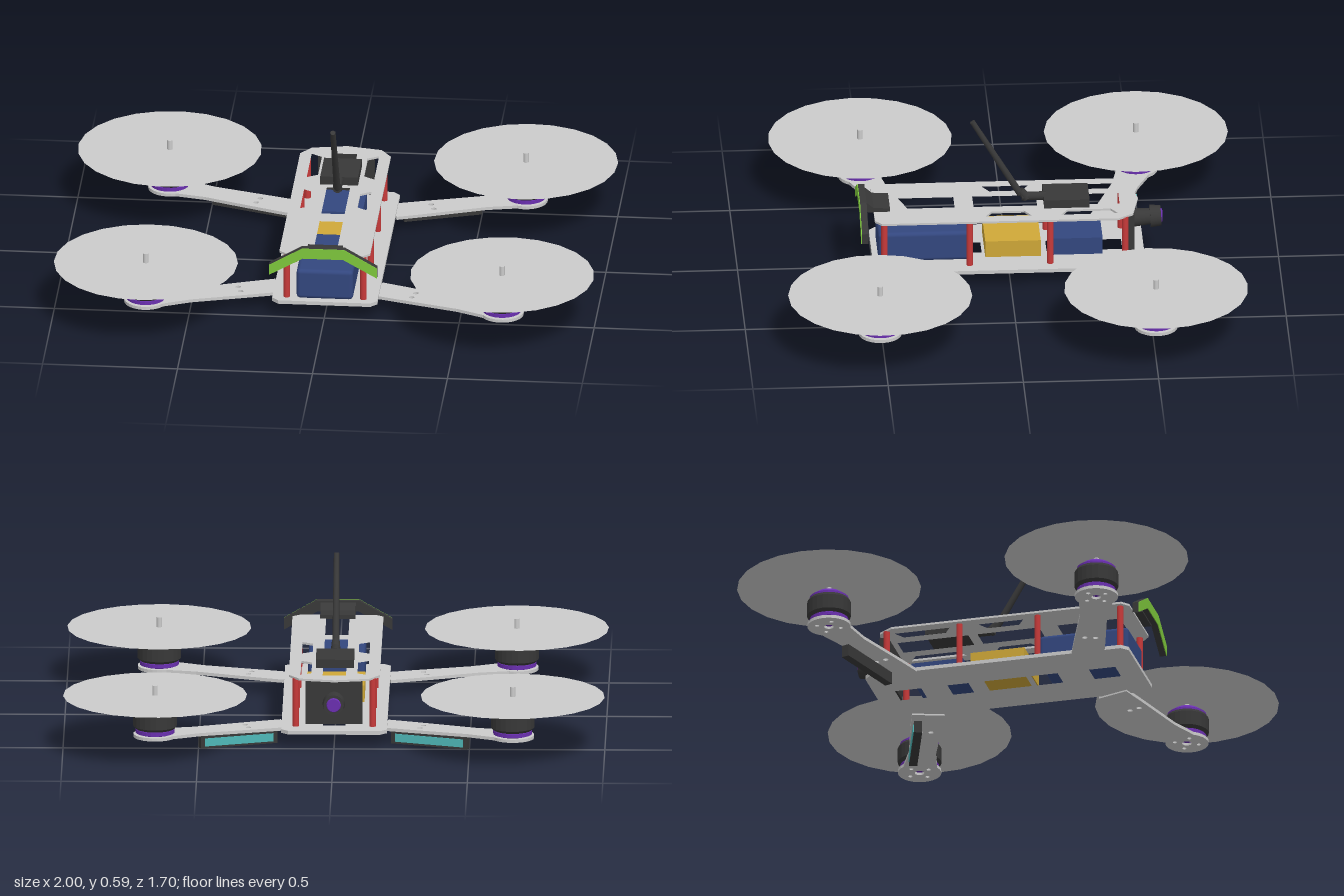
import * as THREE from 'three';
import { RoundedBoxGeometry } from 'three/addons/geometries/RoundedBoxGeometry.js';

const mat = (color, extra = {}) => new THREE.MeshStandardMaterial({ color, ...extra });
const grey = mat(0xcccccc);
const disc = mat(0xcccccc, { side: THREE.DoubleSide });
const dark = mat(0x383838);
const blue = mat(0x33477f);
const gold = mat(0xcfa838);
const red = mat(0xc83a3a);
const green = mat(0x7ec83c);
const purple = mat(0x6a2fb0);
const teal = mat(0x4fb8b8);

function add(parent, name, geometry, material, x = 0, y = 0, z = 0) {
  const mesh = new THREE.Mesh(geometry, material);
  mesh.name = name;
  mesh.position.set(x, y, z);
  parent.add(mesh);
  return mesh;
}

// box given by its extents
function box(parent, name, material, [x0, x1], [y0, y1], [z0, z1]) {
  return add(parent, name, new THREE.BoxGeometry(x1 - x0, y1 - y0, z1 - z0), material,
    (x0 + x1) / 2, (y0 + y1) / 2, (z0 + z1) / 2);
}

// outline points are [x, z]
const path = (pts) => pts.map(([x, z]) => new THREE.Vector2(x, -z));
const rect = (x, z0, z1) => [[-x, z0], [x, z0], [x, z1], [-x, z1]];

// flat sheet lying in the xz plane
function sheet(shape, thickness) {
  const g = new THREE.ExtrudeGeometry(shape, { depth: thickness, bevelEnabled: false, curveSegments: 10 });
  return g.rotateX(-Math.PI / 2);
}

function plate(outline, holes, thickness) {
  const shape = new THREE.Shape(path(outline));
  holes.forEach((h) => shape.holes.push(new THREE.Path(path(h))));
  return sheet(shape, thickness);
}

const lathe = (pts) =>
  new THREE.LatheGeometry(pts.map(([r, y]) => new THREE.Vector2(r, y)), 24);

// cylinder between two points
function rod(parent, name, material, a, b, r0, r1 = r0, sides = 12) {
  const p = new THREE.Vector3(...a), q = new THREE.Vector3(...b);
  const mesh = add(parent, name, new THREE.CylinderGeometry(r1, r0, p.distanceTo(q), sides), material);
  mesh.position.copy(p).add(q).multiplyScalar(0.5);
  mesh.quaternion.setFromUnitVectors(new THREE.Vector3(0, 1, 0), q.sub(p).normalize());
  return mesh;
}

// motor with bell, shaft and spinning propeller disc
function createMotor() {
  const g = new THREE.Group();
  g.name = 'motor';
  const flat = (m) => { const c = m.clone(); c.flatShading = true; return c; };
  add(g, 'motorBase', lathe([[0, 0.058], [0.055, 0.058], [0.072, 0.064], [0.072, 0.078], [0.06, 0.086], [0, 0.086]]), flat(purple));
  add(g, 'motorBell', lathe([[0, 0.08], [0.072, 0.08], [0.081, 0.09], [0.081, 0.145], [0.074, 0.156], [0, 0.156]]), flat(dark));
  add(g, 'motorCap', lathe([[0.072, 0.154], [0.072, 0.165], [0.048, 0.182], [0.032, 0.19], [0, 0.19]]), flat(purple));
  add(g, 'motorShaft', new THREE.CylinderGeometry(0.01, 0.01, 0.06, 12), grey, 0, 0.212, 0);
  add(g, 'propellerDisc', new THREE.CircleGeometry(0.34, 24).rotateX(-Math.PI / 2), disc, 0, 0.205, 0);
  return g;
}

// arm outline along local +x, ending in a round motor mount
function armGeometry(length) {
  const s = new THREE.Shape();
  s.moveTo(-0.01, -0.06);
  s.lineTo(0.1, -0.058);
  s.lineTo(length - 0.16, -0.05);
  s.lineTo(length - 0.05, -0.062);
  s.absarc(length, 0, 0.08, -2.25, 2.25, false);
  s.lineTo(length - 0.16, 0.05);
  s.lineTo(0.1, 0.058);
  s.lineTo(-0.01, 0.06);
  s.closePath();
  const hole = (x, y, r) => s.holes.push(new THREE.Path().absarc(x, y, r, 0, Math.PI * 2, true));
  hole(0.14, 0.02, 0.01);
  hole(0.14, -0.02, 0.01);
  hole(length, 0, 0.018);
  for (let i = 0; i < 4; i++) {
    const a = Math.PI / 4 + i * Math.PI / 2;
    hole(length + 0.045 * Math.cos(a), 0.045 * Math.sin(a), 0.008);
  }
  return sheet(s, 0.012);
}

function createArm(sx, sz) {
  const g = new THREE.Group();
  g.name = 'arm';
  const dx = 0.47, dz = 0.155, length = Math.hypot(dx, dz);
  g.position.set(sx * 0.19, 0, sz * 0.355);
  g.rotation.y = Math.atan2(-sz * dz, sx * dx);
  add(g, 'armPlate', armGeometry(length), grey, 0, 0.048, 0);
  const motor = createMotor();
  motor.position.x = length;
  g.add(motor);
  // light bar below each rear arm
  if (sz < 0) {
    const side = -sx;
    add(g, 'lightBar', new THREE.BoxGeometry(0.295, 0.046, 0.03), dark, 0.185, 0.023, side * 0.034);
    add(g, 'lightStrip', new THREE.BoxGeometry(0.265, 0.03, 0.004), teal, 0.185, 0.023, side * 0.05);
  }
  return g;
}

export function createModel() {
  const model = new THREE.Group();
  model.name = 'quadcopter';

  // arms with motors
  for (const sx of [-1, 1]) for (const sz of [-1, 1]) model.add(createArm(sx, sz));

  // lower deck
  const c = 0.025;
  const lower = [[-0.195, -0.5 + c], [-0.195 + c, -0.5], [0.195 - c, -0.5], [0.195, -0.5 + c],
    [0.195, 0.505 - c], [0.195 - c, 0.505], [-0.195 + c, 0.505], [-0.195, 0.505 - c]];
  const lowerSlots = [[0.32, 0.42], [0.1, 0.2], [-0.08, 0.08], [-0.22, -0.14], [-0.42, -0.32]];
  add(model, 'lowerDeck', plate(lower, lowerSlots.map(([a, b]) => rect(0.042, a, b)), 0.014), grey, 0, 0.054, 0);

  // upper deck with centre slots and side windows
  const upper = [[-0.168, -0.4], [-0.13, -0.455], [0, -0.48], [0.13, -0.455], [0.168, -0.4],
    [0.168, 0.475], [0.14, 0.5], [-0.14, 0.5], [-0.168, 0.475]];
  const holes = [[-0.41, -0.14], [-0.105, 0.13], [0.2, 0.44]].map(([a, b]) => rect(0.043, a, b));
  for (const s of [-1, 1]) for (const [a, b] of [[-0.4, -0.19], [-0.08, 0.09]])
    holes.push([[s * 0.125, a], [s * 0.085, a + 0.025], [s * 0.085, b - 0.025], [s * 0.125, b]]);
  add(model, 'upperDeck', plate(upper, holes, 0.008), grey, 0, 0.248, 0);

  // standoffs between the decks
  for (const s of [-1, 1]) for (const z of [0.465, 0.15, -0.148, -0.425])
    rod(model, 'standoff', red, [s * 0.142, 0.066, z], [s * 0.142, 0.25, z], 0.012);

  // battery and boards
  add(model, 'battery', new RoundedBoxGeometry(0.21, 0.116, 0.34, 2, 0.015), blue, 0, 0.126, 0.315);
  box(model, 'powerBoard', gold, [-0.107, 0.107], [0.08, 0.144], [-0.115, 0.09]);
  box(model, 'receiver', blue, [-0.085, 0.085], [0.072, 0.138], [-0.345, -0.15]);

  // rear camera
  box(model, 'cameraBody', dark, [-0.105, 0.105], [0.085, 0.246], [-0.462, -0.43]);
  rod(model, 'cameraBarrel', dark, [0, 0.175, -0.46], [0, 0.18, -0.53], 0.034, 0.03, 16);
  rod(model, 'cameraRing', dark, [0, 0.18, -0.525], [0, 0.182, -0.565], 0.042, 0.038, 16);
  rod(model, 'cameraLens', purple, [0, 0.182, -0.56], [0, 0.182, -0.57], 0.03, 0.024, 16);

  // transmitter and antenna on the upper deck
  box(model, 'transmitter', dark, [-0.07, 0.07], [0.256, 0.288], [-0.298, -0.13]);
  rod(model, 'antennaConnector', dark, [0, 0.275, -0.14], [0, 0.275, -0.05], 0.016);
  rod(model, 'antennaJoint', dark, [0, 0.268, -0.07], [0, 0.3, -0.045], 0.018, 0.014);
  rod(model, 'antenna', dark, [0, 0.285, -0.045], [0, 0.585, 0.132], 0.013, 0.01);

  // front bumper: bent bar with a coloured face
  const bar = new THREE.Shape([[-0.2, 0.192], [-0.075, 0.262], [0.075, 0.262], [0.2, 0.192],
    [0.2, 0.232], [0.078, 0.302], [-0.078, 0.302], [-0.2, 0.232]].map((p) => new THREE.Vector2(...p)));
  const slab = (depth) => new THREE.ExtrudeGeometry(bar, { depth, bevelEnabled: false });
  add(model, 'bumper', slab(0.024), dark, 0, 0, 0.527);
  add(model, 'bumperFace', slab(0.003), green, 0, 0, 0.551);
  // wedge bracket holding the bumper
  const wedge = new THREE.Shape([[0.44, 0.255], [0.53, 0.255], [0.53, 0.298], [0.5, 0.272], [0.44, 0.27]]
    .map(([z, y]) => new THREE.Vector2(-z, y)));
  const bracket = new THREE.ExtrudeGeometry(wedge, { depth: 0.13, bevelEnabled: false });
  add(model, 'bumperBracket', bracket.translate(0, 0, -0.065).rotateY(Math.PI / 2), dark);

  return model;
}
